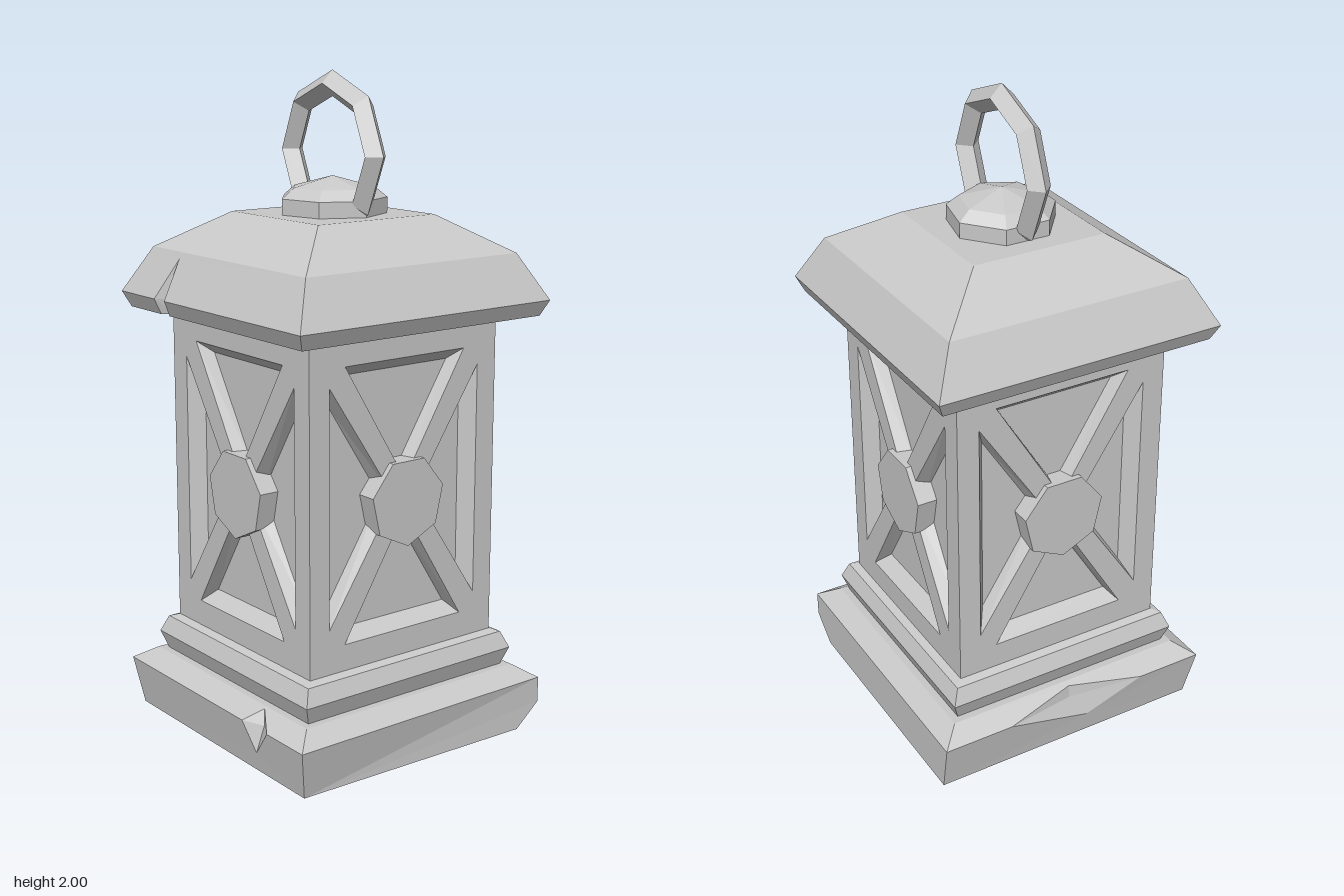
import * as THREE from 'three';

const stone = new THREE.MeshStandardMaterial({ color: 0xc8c8c8 });
stone.name = 'grey stone';

// Mesh with one hard-edged normal per face
function facetMesh(name, geometry) {
  const g = geometry.index ? geometry.toNonIndexed() : geometry;
  g.computeVertexNormals();
  const mesh = new THREE.Mesh(g, stone);
  mesh.name = name;
  return mesh;
}

// Solid from polygons, each fanned from its first corner
function polyGeometry(polys) {
  const pos = [];
  for (const p of polys)
    for (let i = 1; i < p.length - 1; i++) pos.push(...p[0], ...p[i], ...p[i + 1]);
  const g = new THREE.BufferGeometry();
  g.setAttribute('position', new THREE.Float32BufferAttribute(pos, 3));
  return g;
}

// Four corners at a height: front left, front right, back right, back left (as seen from the front)
const square = (h, y) => [[-h, y, h], [h, y, h], [h, y, -h], [-h, y, -h]];

// Faceted solid of revolution from [radius, y] pairs
const turned = (profile, sides, start) =>
  new THREE.LatheGeometry(profile.map(([r, y]) => new THREE.Vector2(r, y)), sides, start);

// A base side with a chip knocked out of its upper edge
function chippedSide(bl, br, tl, tr, ul, ur, { left, low, right, top, deep }) {
  return [
    [bl, low, left, tl], [bl, br, low], [low, br, tr, right],
    [left, low, deep], [low, right, deep], [right, top, deep], [top, left, deep],
    [tl, left, top, ul], [right, tr, ur, top], [top, ur, ul],
  ];
}

function makeBase() {
  const b = [[-0.43, 0, 0.43], [0.43, 0, 0.43], null, [-0.43, 0, -0.455]];
  const t = square(0.456, 0.15), u = square(0.395, 0.19);
  // broken back corner
  const cx = [0.456, 0, -0.37], cz = [0.37, 0, -0.456], cy = [0.456, 0.07, -0.456];
  const frontChip = {
    left: [0.16, 0.15, 0.456], low: [0.21, 0.06, 0.44], right: [0.285, 0.15, 0.456],
    top: [0.2, 0.185, 0.4026], deep: [0.215, 0.14, 0.415],
  };
  const sideChip = {
    left: [-0.456, 0.15, -0.23], low: [-0.441, 0.07, 0.05], right: [-0.456, 0.15, 0.24],
    top: [-0.41, 0.18, 0], deep: [-0.415, 0.14, 0],
  };
  return polyGeometry([
    ...chippedSide(b[0], b[1], t[0], t[1], u[0], u[1], frontChip),
    ...chippedSide(b[3], b[0], t[3], t[0], u[3], u[0], sideChip),
    [b[1], cx, cy, t[2], t[1]], [t[1], t[2], u[2], u[1]],
    [cz, b[3], t[3], t[2], cy], [t[2], t[3], u[3], u[2]],
    [cx, cz, cy], [b[0], b[3], cz, cx, b[1]], u,
  ]);
}

function makeRoof() {
  const e = square(0.436, 1.29), f = square(0.457, 1.337);
  const m = square(0.385, 1.475), n = square(0.213, 1.585);
  // crack in the front eave
  const A = [-0.225, 1.455, 0.395];
  const B = [-0.27, 1.337, 0.457], C = [-0.215, 1.337, 0.457], D = [-0.238, 1.337, 0.415];
  const B2 = [-0.265, 1.29, 0.436], C2 = [-0.22, 1.29, 0.436], D2 = [-0.238, 1.29, 0.405];
  const polys = [
    [f[0], B, A, m[0]], [C, f[1], m[1], A], [A, m[1], m[0]],
    [A, B, D], [A, D, C], [B, B2, D2, D], [D, D2, C2, C],
    [e[0], B2, B, f[0]], [C2, e[1], f[1], C],
    [e[3], e[2], e[1], C2, D2, B2, e[0]], n,
  ];
  for (let i = 0; i < 4; i++) {
    const j = (i + 1) % 4;
    polys.push([m[i], m[j], n[j], n[i]]);
    if (i > 0) polys.push([e[i], e[j], f[j], f[i]], [f[i], f[j], m[j], m[i]]);
  }
  return polyGeometry(polys);
}

// One wall: a pierced sheet with four sunken triangles behind its crossed bars
function makeWall() {
  const wall = new THREE.Group();
  const face = 0.345, floor = 0.3, mid = 0.795;
  const topRim = [[-0.22, 1.205], [0, 0.845], [0.22, 1.205]];
  const topFloor = [[-0.19, 1.17], [0, 0.865], [0.19, 1.17]];
  const sideRim = [[-0.275, 1.15], [-0.275, 0.44], [-0.04, mid]];
  const sideFloor = [[-0.242, 1.08], [-0.242, 0.51], [-0.06, mid]];
  const flipY = (p) => p.map(([x, y]) => [x, 2 * mid - y]).reverse();
  const flipX = (p) => p.map(([x, y]) => [-x, y]).reverse();
  const recesses = [
    [topRim, topFloor], [flipY(topRim), flipY(topFloor)],
    [sideRim, sideFloor], [flipX(sideRim), flipX(sideFloor)],
  ];
  const sheet = new THREE.Shape([[-face, 0.29], [face, 0.29], [face, 1.3], [-face, 1.3]]
    .map((p) => new THREE.Vector2(...p)));
  const polys = [];
  for (const [rim, bed] of recesses) {
    sheet.holes.push(new THREE.Path(rim.map((p) => new THREE.Vector2(...p))));
    const r = rim.map((p) => [...p, face]), d = bed.map((p) => [...p, floor]);
    polys.push(d);
    for (let i = 0; i < 3; i++) {
      const j = (i + 1) % 3;
      polys.push([r[i], r[j], d[j], d[i]]);
    }
  }
  const frame = facetMesh('wallFrame', new THREE.ShapeGeometry(sheet));
  frame.position.z = face;
  const boss = facetMesh('wallBoss', new THREE.CylinderGeometry(0.135, 0.135, 0.075, 7).rotateX(Math.PI / 2));
  boss.position.set(0, 0.78, 0.325);
  wall.add(frame, facetMesh('wallRecesses', polyGeometry(polys)), boss);
  return wall;
}

export function createModel() {
  const model = new THREE.Group();
  model.name = 'lantern';
  model.add(facetMesh('base', makeBase()), facetMesh('roof', makeRoof()));

  // Square moulding between base and walls
  const s = Math.SQRT2;
  const moulding = [[0.37 * s, 0.185], [0.391 * s, 0.245], [0.37 * s, 0.296], [0.345 * s, 0.305]];
  model.add(facetMesh('moulding', turned(moulding, 4, Math.PI / 4)));

  for (let i = 0; i < 4; i++) {
    const wall = makeWall();
    wall.name = 'wall' + (i + 1);
    wall.rotation.y = i * Math.PI / 2;
    model.add(wall);
  }

  // Seven-sided cap and hanging ring
  const cap = [[0.162, 1.58], [0.162, 1.632], [0.125, 1.662], [0, 1.695]];
  model.add(facetMesh('cap', turned(cap, 7, Math.PI / 2)));
  const ring = facetMesh('hangingRing', new THREE.TorusGeometry(0.2, 0.038, 4, 8));
  ring.position.y = 1.762;
  model.add(ring);
  return model;
}
